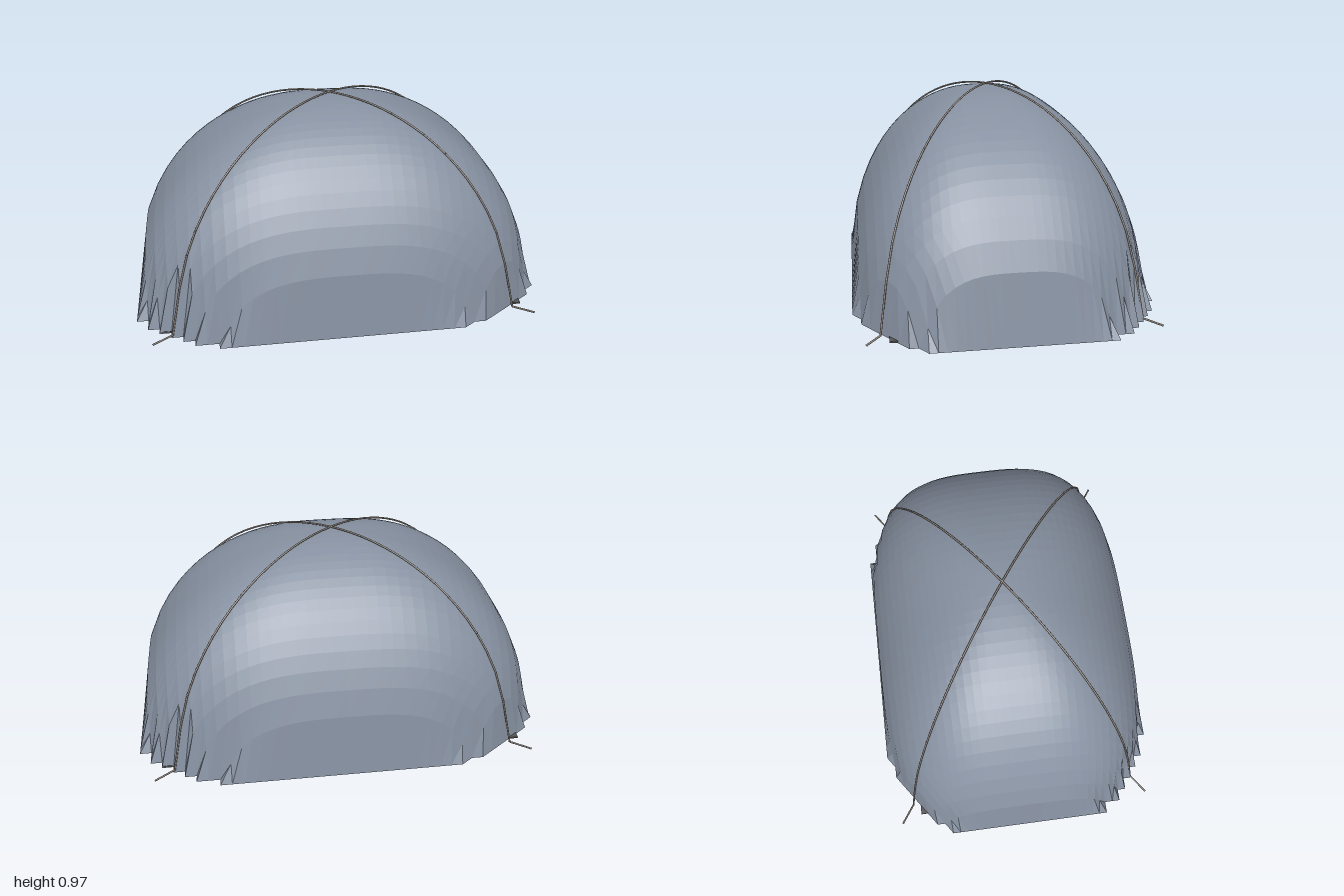
import * as THREE from 'three';
import { mergeGeometries } from 'three/addons/utils/BufferGeometryUtils.js';

const FLY = { halfX: 1, halfZ: 0.706, height: 0.955, power: 3.2 };
const LINING = { halfX: 0.87, halfZ: 0.545, height: 0.88, power: 5 };

const material = (name, color, extra = {}) => {
  const m = new THREE.MeshStandardMaterial({ color, ...extra });
  m.name = name;
  return m;
};

// Dome height over a rounded-rectangle footprint, u and v running from -1 to 1
function domeHeight({ height, power }, u, v) {
  const r = Math.pow(Math.abs(u) ** power + Math.abs(v) ** power, 1 / power);
  return height * Math.sqrt(Math.max(0, 1 - r * r));
}

// Grid lifted by the dome rule, keeping only triangles that rise above the ground
function domeGeometry(dome, cells) {
  const geo = new THREE.PlaneGeometry(2, 2, cells, cells).rotateX(-Math.PI / 2);
  const pos = geo.attributes.position;
  for (let i = 0; i < pos.count; i++) {
    const u = pos.getX(i), v = pos.getZ(i);
    pos.setXYZ(i, u * dome.halfX, domeHeight(dome, u, v), v * dome.halfZ);
  }
  const kept = [];
  const idx = geo.index.array;
  for (let i = 0; i < idx.length; i += 3) {
    const tri = [idx[i], idx[i + 1], idx[i + 2]];
    if (tri.some((k) => pos.getY(k) > 1e-4)) kept.push(...tri);
  }
  geo.setIndex(kept);
  geo.computeVertexNormals();
  return geo;
}

// Jointed pole lying just above the fly along a diagonal, ending in flat feet
function poleGeometry(side) {
  const steps = 40;
  const points = [];
  for (let i = 0; i <= steps; i++) {
    const s = -1 + (2 * i) / steps;
    const x = 0.917 * s, z = side * 0.652 * s;
    const y = 0.014 + domeHeight(FLY, x / FLY.halfX, z / FLY.halfZ);
    points.push(new THREE.Vector3(x, y, z));
  }
  const joints = points.slice(1).map((p, i) =>
    new THREE.TubeGeometry(new THREE.LineCurve3(points[i], p), 1, 0.0045, 12));
  return mergeGeometries(joints);
}

export function createModel() {
  const group = new THREE.Group();
  const flyMat = material('slate fabric', 0x8690a0, { flatShading: true, side: THREE.DoubleSide });
  const liningMat = material('pale lining', 0xd0cdcd, { flatShading: true, side: THREE.DoubleSide });
  const floorMat = material('dark groundsheet', 0x555557);
  const poleMat = material('grey brown pole', 0x8f867d);

  const add = (name, geo, mat) => {
    const mesh = new THREE.Mesh(geo, mat);
    mesh.name = name;
    group.add(mesh);
  };

  // Outer fly sheet and inner tent
  add('flySheet', domeGeometry(FLY, 36), flyMat);
  add('innerTent', domeGeometry(LINING, 24), liningMat);

  // Groundsheet
  add('groundsheet', new THREE.BoxGeometry(1.76, 0.008, 1.1).translate(0, 0.006, 0), floorMat);

  // Two crossing poles
  add('poleA', poleGeometry(1), poleMat);
  add('poleB', poleGeometry(-1), poleMat);
  return group;
}
